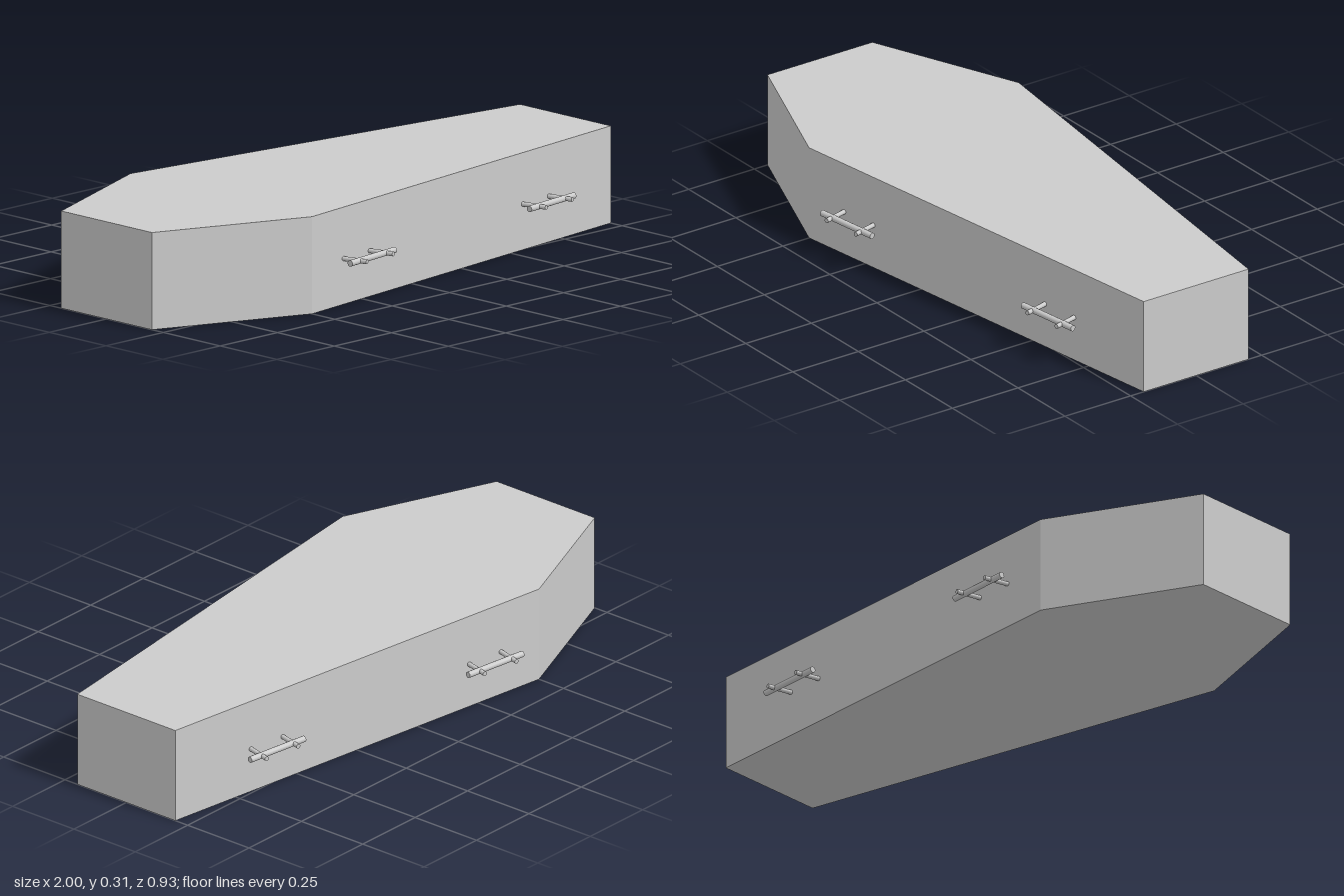
import * as THREE from 'three';

const material = new THREE.MeshStandardMaterial({ color: 0xcccccc });
const HANDLE_Y = 0.146;

// Round rod between two points
function rod(name, from, to, radius) {
  const direction = to.clone().sub(from);
  const mesh = new THREE.Mesh(new THREE.CylinderGeometry(radius, radius, direction.length(), 12), material);
  mesh.name = name;
  mesh.position.copy(from).add(to).multiplyScalar(0.5);
  mesh.quaternion.setFromUnitVectors(new THREE.Vector3(0, 1, 0), direction.normalize());
  return mesh;
}

// Six-sided box, wide at the shoulders and tapering to both ends
function createBody() {
  const outline = [[-1, -0.2], [-0.5, -0.4], [1, -0.2], [1, 0.2], [-0.5, 0.4], [-1, 0.2]];
  const shape = new THREE.Shape(outline.map(([x, z]) => new THREE.Vector2(x, z)));
  const geometry = new THREE.ExtrudeGeometry(shape, { depth: 0.31, bevelEnabled: false });
  geometry.rotateX(-Math.PI / 2);
  const body = new THREE.Mesh(geometry, material);
  body.name = 'body';
  return body;
}

// Grip bar carried by two slanting posts; side is +1 for front, -1 for back
function createHandle(name, x, z, side) {
  const at = (dx, dz) => new THREE.Vector3(x + dx, HANDLE_Y, side * (z + dz));
  const handle = new THREE.Group();
  handle.name = name;
  handle.add(rod('gripBar', at(-0.112, 0.015), at(0.112, -0.015), 0.01));
  for (const [dx, dz] of [[-0.066, 0.008], [0.065, -0.009]]) {
    handle.add(rod('post', at(dx - 0.018, dz - 0.068), at(dx + 0.007, dz + 0.029), 0.0075));
  }
  return handle;
}

export function createModel() {
  const model = new THREE.Group();
  model.name = 'coffin';
  model.add(createBody());
  for (const [label, side] of [['front', 1], ['back', -1]]) {
    model.add(createHandle(label + 'ShoulderHandle', -0.262, 0.425, side));
    model.add(createHandle(label + 'FootHandle', 0.638, 0.305, side));
  }
  return model;
}
